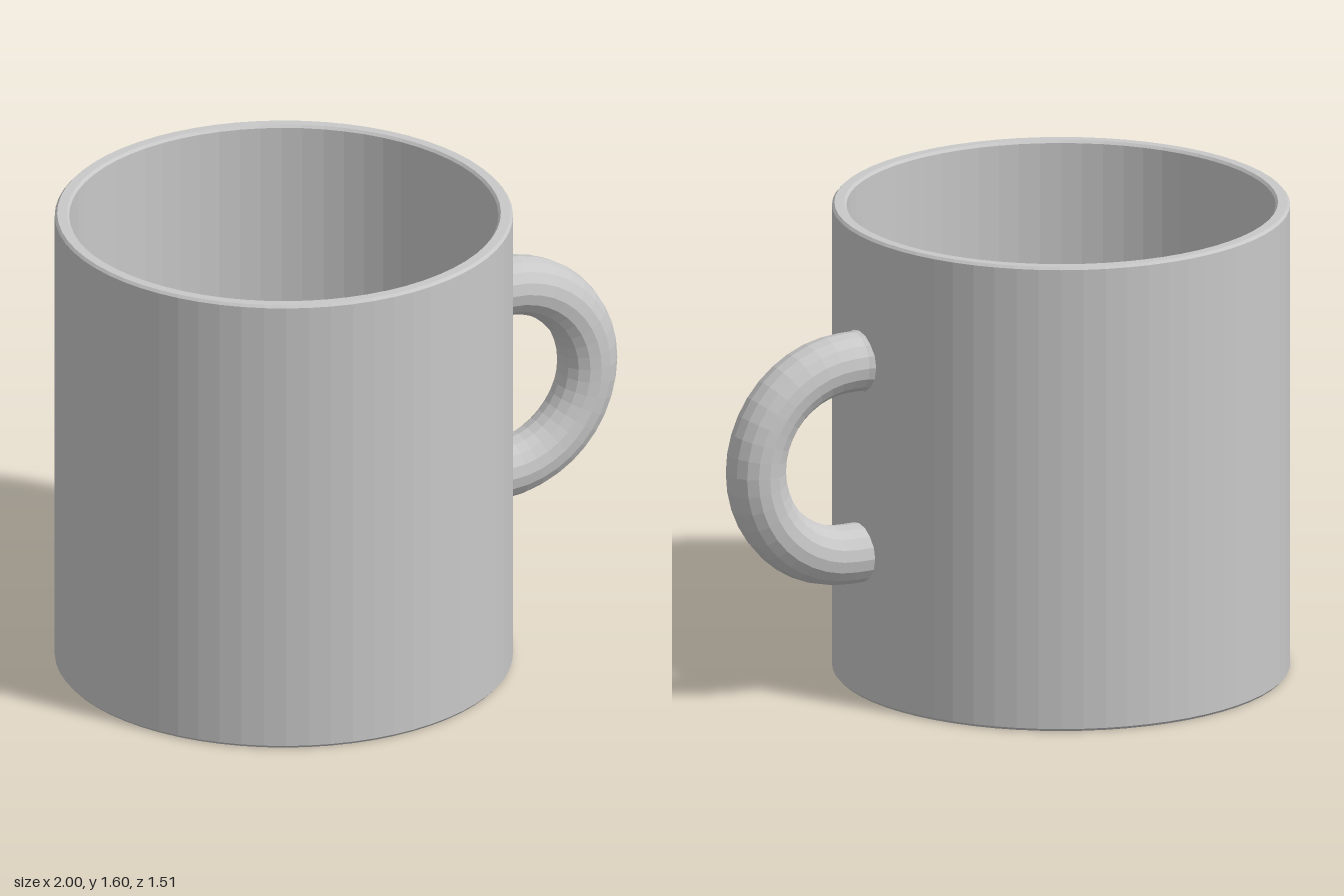
import * as THREE from 'three';

export function createModel() {
  const model = new THREE.Group();
  model.name = 'mug';
  const glaze = new THREE.MeshStandardMaterial({ color: 0xc8c8c8 });
  glaze.name = 'grey glaze';
  glaze.flatShading = true;

  const add = (parent, name, geometry, x = 0, y = 0, z = 0) => {
    const mesh = new THREE.Mesh(geometry, glaze);
    mesh.name = name;
    mesh.position.set(x, y, z);
    parent.add(mesh);
    return mesh;
  };

  // Hollow body with small bevels at the foot, rim and inner floor
  const profile = [
    [0, 0], [0.749, 0], [0.757, 0.009], [0.757, 1.591], [0.749, 1.6],
    [0.717, 1.6], [0.709, 1.591], [0.709, 0.058], [0.7, 0.05], [0, 0.05],
  ].map(([r, y]) => new THREE.Vector2(r, y));
  add(model, 'body', new THREE.LatheGeometry(profile, 64), -0.243);

  // Half-ring handle
  const handle = new THREE.Group();
  handle.name = 'handle';
  model.add(handle);
  const centreX = 0.57, centreY = 0.83, bend = 0.33, tube = 0.1;
  const ring = new THREE.TorusGeometry(bend, tube, 16, 20, Math.PI).rotateZ(-Math.PI / 2);
  add(handle, 'handleLoop', ring, centreX, centreY);

  // Short straight ends sunk into the wall
  const wallX = 0.49, length = centreX - wallX;
  for (const [name, side] of [['upperEnd', 1], ['lowerEnd', -1]]) {
    const end = new THREE.CylinderGeometry(tube, tube, length, 16, 1, false).rotateZ(Math.PI / 2);
    add(handle, name, end, wallX + length / 2, centreY + side * bend);
  }

  // Slight flare where the upper end meets the wall
  const flare = new THREE.CylinderGeometry(tube, 0.108, 0.03, 16).rotateZ(-Math.PI / 2);
  add(handle, 'upperFlare', flare, 0.512, centreY + bend);

  return model;
}
